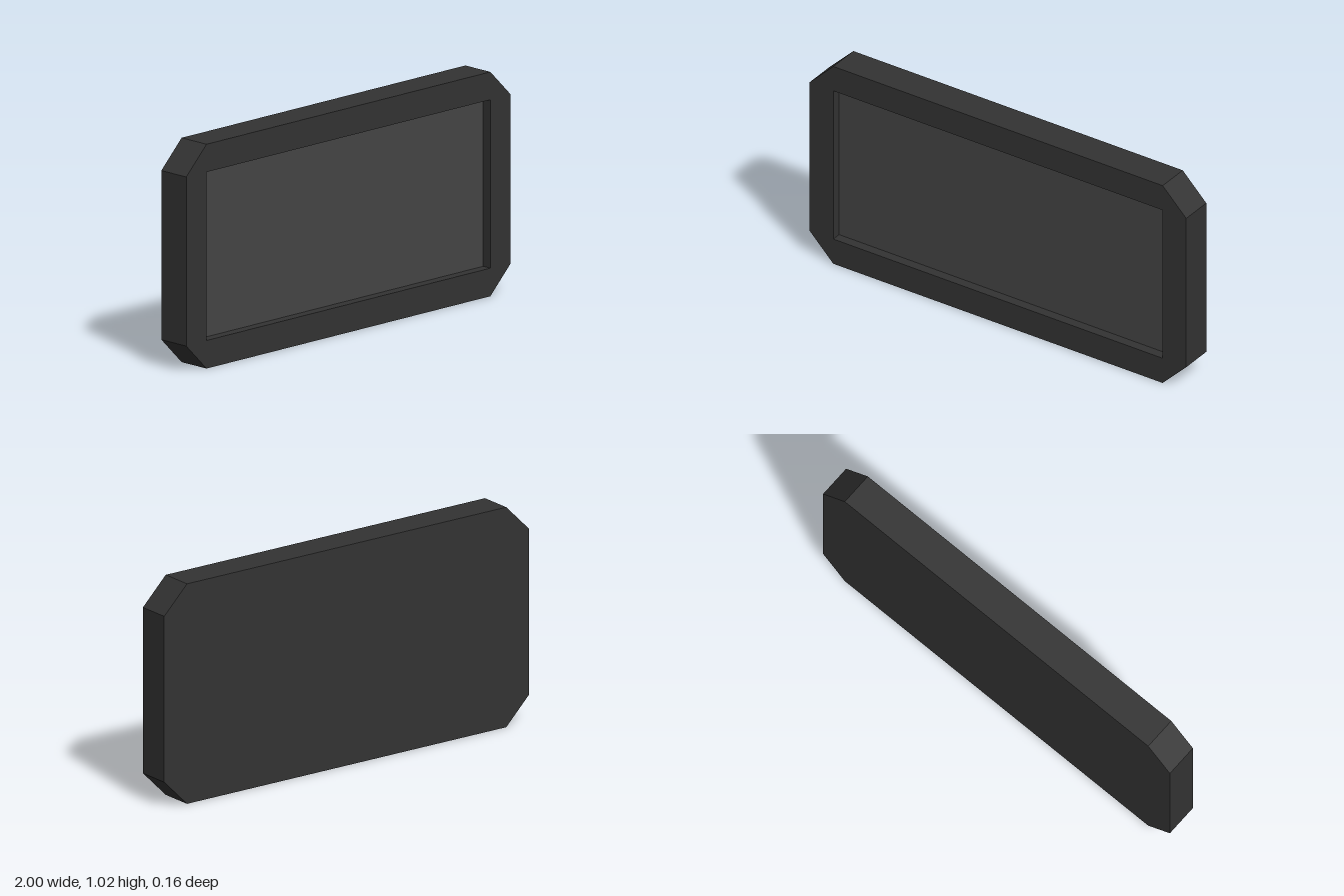
import * as THREE from 'three';

const W = 1, H = 1.016, C = 0.125;   // half width, height, corner chamfer
const D = 0.155, RECESS = 0.047;     // total depth, depth of the screen recess
const HX = 0.875, Y0 = 0.127, Y1 = 0.89; // screen opening

// Rectangle with cut corners
function outline() {
  return new THREE.Shape([
    [-W + C, 0], [W - C, 0], [W, C], [W, H - C],
    [W - C, H], [-W + C, H], [-W, H - C], [-W, C],
  ].map(([x, y]) => new THREE.Vector2(x, y)));
}

function slab(name, shape, depth, z, material) {
  const geometry = new THREE.ExtrudeGeometry(shape, { depth, bevelEnabled: false });
  const mesh = new THREE.Mesh(geometry, material);
  mesh.name = name;
  mesh.position.z = z;
  return mesh;
}

export function createModel() {
  const group = new THREE.Group();
  group.name = 'framedScreen';
  const frameMat = new THREE.MeshStandardMaterial({ color: 0x333333, flatShading: true });
  const screenMat = new THREE.MeshStandardMaterial({ color: 0x444444, flatShading: true });

  // Solid back of the casing
  group.add(slab('backCasing', outline(), D - RECESS, -D / 2, frameMat));

  // Front rim around the opening
  const rim = outline();
  rim.holes.push(new THREE.Path([
    [-HX, Y0], [-HX, Y1], [HX, Y1], [HX, Y0],
  ].map(([x, y]) => new THREE.Vector2(x, y))));
  group.add(slab('frontRim', rim, RECESS, D / 2 - RECESS, frameMat));

  // Recessed screen, just proud of the casing behind it
  const screen = new THREE.Mesh(new THREE.PlaneGeometry(2 * HX, Y1 - Y0), screenMat);
  screen.name = 'screen';
  screen.position.set(0, (Y0 + Y1) / 2, D / 2 - RECESS + 0.002);
  group.add(screen);

  return group;
}
